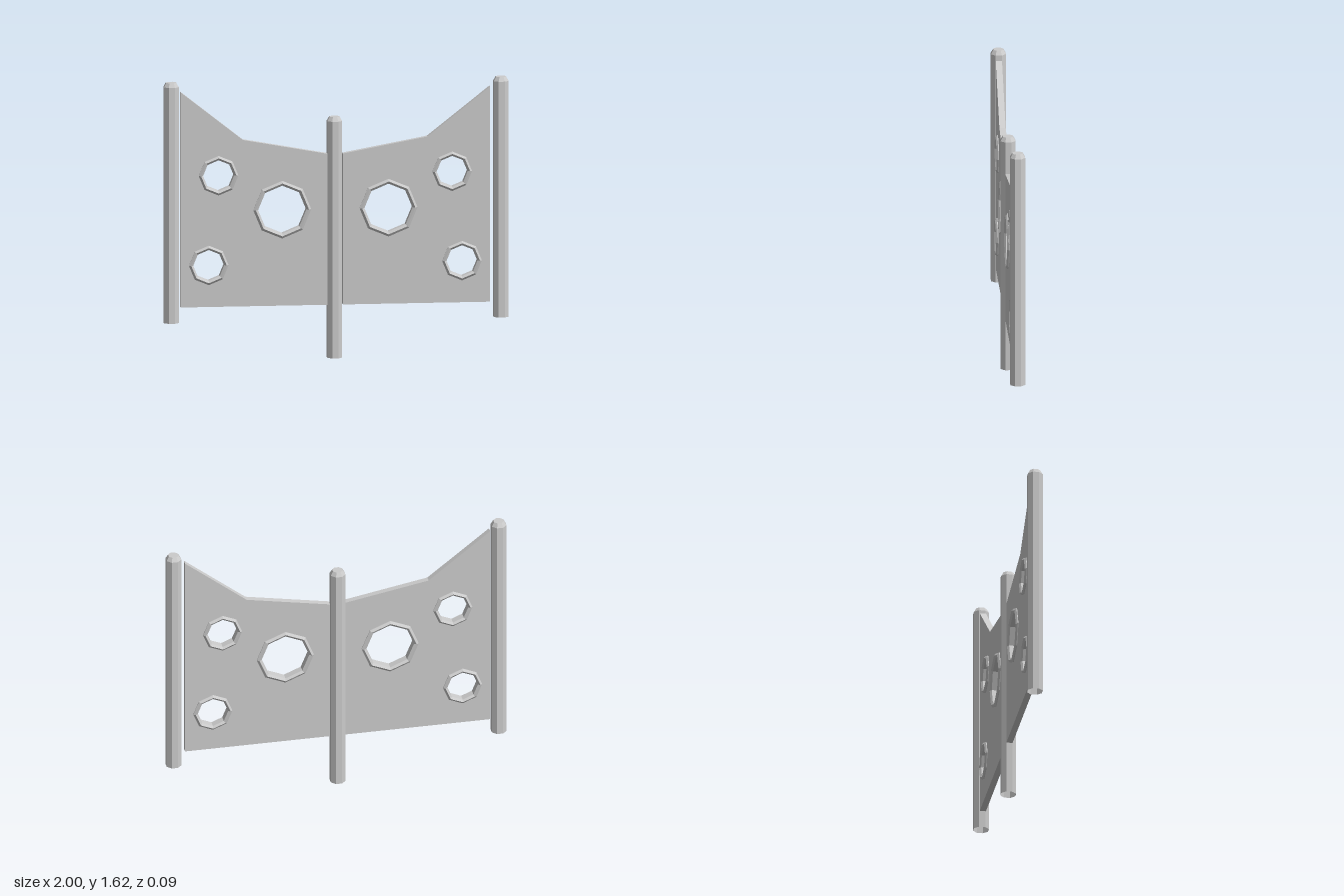
import * as THREE from 'three';

const material = new THREE.MeshStandardMaterial({ color: 0xcccccc, flatShading: true, side: THREE.DoubleSide });
const CENTRE = -0.007; // mirror line of the two wings
const PANEL_HALF = 0.018;

// Ring positions on one wing: distance from the mirror line, height, outer and inner radius
const RINGS = [
  { name: 'largeRing', x: 0.308, y: 0.87, outer: 0.168, inner: 0.14 },
  { name: 'upperRing', x: 0.677, y: 1.075, outer: 0.115, inner: 0.09 },
  { name: 'lowerRing', x: 0.734, y: 0.553, outer: 0.115, inner: 0.09 },
];

function addMesh(parent, name, geometry) {
  const mesh = new THREE.Mesh(geometry, material);
  mesh.name = name;
  parent.add(mesh);
  return mesh;
}

// Eight-sided post with chamfered top and open foot
function addPost(parent, name, x, bottom, top) {
  const r = 0.0465;
  const profile = [[r, bottom], [r, top - 0.025], [r * 0.68, top], [0, top]];
  const geometry = new THREE.LatheGeometry(profile.map(p => new THREE.Vector2(...p)), 8, Math.PI / 8);
  addMesh(parent, name, geometry).position.x = x;
}

// Octagonal rim with bevelled faces, lying in the panel plane
function ringGeometry(outer, inner) {
  const mid = (outer + inner) / 2;
  const profile = [
    [inner, -0.022], [mid, -0.032], [outer, -0.022],
    [outer, 0.022], [mid, 0.032], [inner, 0.022], [inner, -0.022],
  ];
  return new THREE.LatheGeometry(profile.map(p => new THREE.Vector2(...p)), 8).rotateX(Math.PI / 2);
}

// One wing: panel with octagonal holes and a rim in each
function makeWing(name, side) {
  const wing = new THREE.Group();
  wing.name = name;
  const outline = [[0.044, 0.31], [0.897, 0.31], [0.897, 1.565], [0.535, 1.28], [0.044, 1.19]];
  const shape = new THREE.Shape(outline.map(([x, y]) => new THREE.Vector2(side * x, y)));
  for (const { name: ringName, x, y, outer, inner } of RINGS) {
    const r = (outer + inner) / 2;
    const corners = [];
    for (let i = 0; i < 8; i++) {
      const a = (i * Math.PI) / 4;
      corners.push(new THREE.Vector2(side * x + r * Math.cos(a), y + r * Math.sin(a)));
    }
    shape.holes.push(new THREE.Path(corners));
    addMesh(wing, ringName, ringGeometry(outer, inner)).position.set(side * x, y, 0);
  }
  const panel = new THREE.ExtrudeGeometry(shape, { depth: PANEL_HALF * 2, bevelEnabled: false });
  addMesh(wing, 'panel', panel.translate(0, 0, -PANEL_HALF));
  wing.position.x = CENTRE;
  return wing;
}

export function createModel() {
  const model = new THREE.Group();
  model.name = 'panelFence';
  addPost(model, 'rightPost', -0.957, 0.22, 1.62);
  addPost(model, 'centrePost', -0.01, 0, 1.405);
  addPost(model, 'leftPost', 0.955, 0.22, 1.62);
  model.add(makeWing('rightWing', -1), makeWing('leftWing', 1));
  return model;
}
